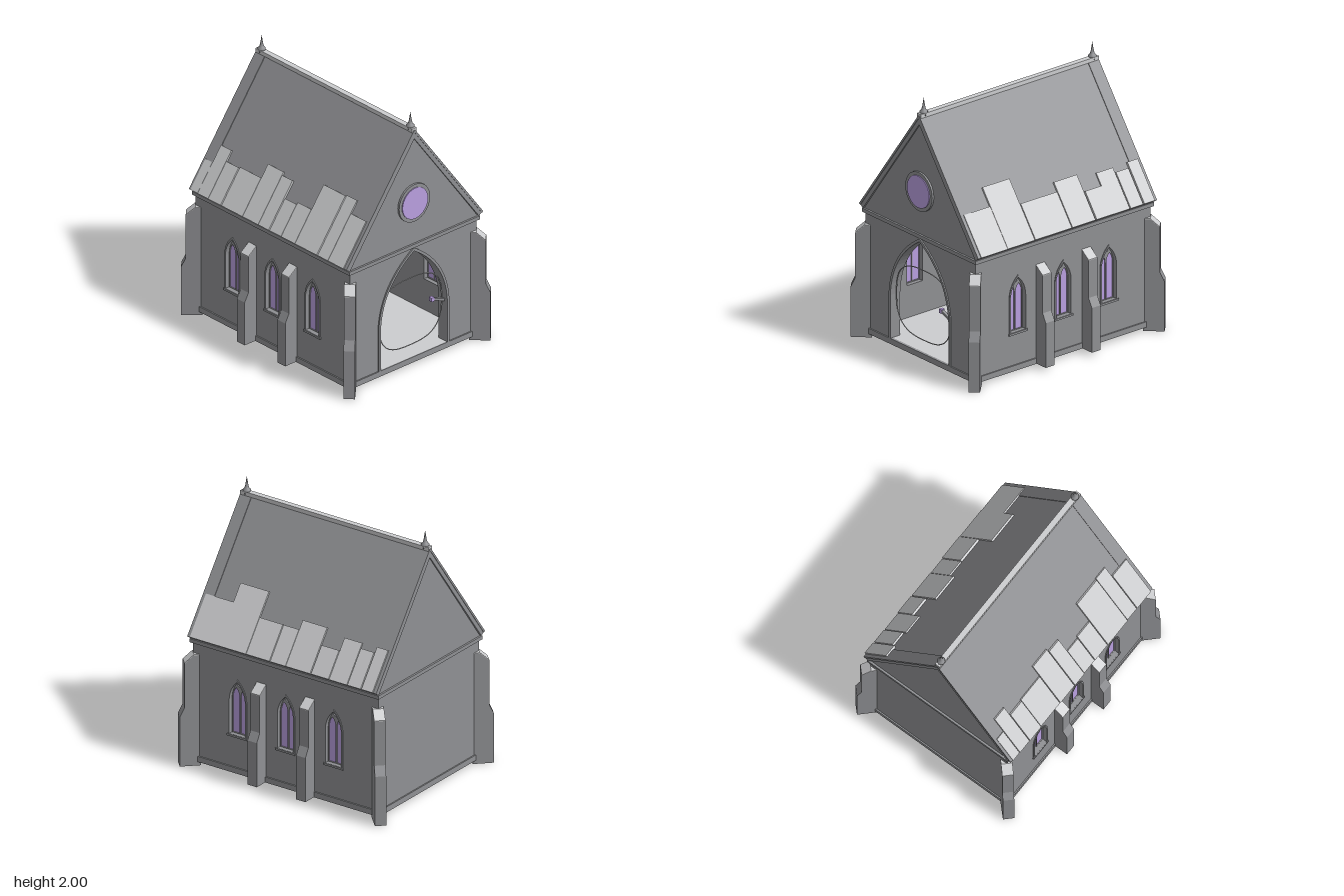
import * as THREE from 'three';

const mat = (name, color, extra = {}) => {
  const m = new THREE.MeshStandardMaterial({ color, ...extra });
  m.name = name;
  return m;
};

export function createModel() {
  const stone = mat('dark stone', 0x8f9093);
  const pale = mat('pale stone', 0xcccdcf);
  const violet = mat('violet glass', 0xb99fe0, { side: THREE.DoubleSide });
  const model = new THREE.Group();
  model.name = 'chapel';

  const add = (parent, name, geo, material, x = 0, y = 0, z = 0) => {
    const m = new THREE.Mesh(geo, material);
    m.name = name;
    m.position.set(x, y, z);
    parent.add(m);
    return m;
  };
  const box = (parent, name, material, x0, x1, y0, y1, z0, z1) =>
    add(parent, name, new THREE.BoxGeometry(x1 - x0, y1 - y0, z1 - z0), material,
      (x0 + x1) / 2, (y0 + y1) / 2, (z0 + z1) / 2);
  const poly = pts => new THREE.Shape(pts.map(p => new THREE.Vector2(...p)));
  // Extrude a shape between two z values
  const slab = (parent, name, material, shape, z0, z1) =>
    add(parent, name, new THREE.ExtrudeGeometry(shape,
      { depth: z1 - z0, bevelEnabled: false, curveSegments: 14 }), material, 0, 0, z0);
  // Pointed gothic arch outline
  const arch = (cx, hw, y0, spring, apex) => {
    const s = new THREE.Shape(), cy = spring + (apex - spring) * 0.62;
    s.moveTo(cx - hw, y0);
    s.lineTo(cx + hw, y0);
    s.lineTo(cx + hw, spring);
    s.quadraticCurveTo(cx + hw * 0.95, cy, cx, apex);
    s.quadraticCurveTo(cx - hw * 0.95, cy, cx - hw, spring);
    s.closePath();
    return s;
  };
  const disc = (cx, cy, r) => new THREE.Shape().absarc(cx, cy, r, 0, Math.PI * 2);
  const rect = (x0, x1, y0, y1) => poly([[x0, y0], [x1, y0], [x1, y1], [x0, y1]]);
  const cut = (shape, ...holes) => { shape.holes.push(...holes); return shape; };

  // Floor, plinth and end walls
  box(model, 'base', stone, -0.6, 0.6, 0.028, 0.05, -0.8, 0.8);
  box(model, 'floor', pale, -0.53, 0.53, 0.05, 0.07, -0.73, 0.73);
  box(model, 'doorSill', pale, -0.315, 0.315, 0.066, 0.071, 0.72, 0.8);
  for (const s of [-1, 1]) {
    box(model, 'sidePlinth', stone, s * 0.605 - 0.005, s * 0.605 + 0.005, 0.028, 0.07, -0.81, 0.81);
    box(model, 'endPlinth', stone, -0.61, 0.61, 0.028, 0.07, s * 0.805 - 0.005, s * 0.805 + 0.005);
  }
  slab(model, 'backWall', stone, rect(-0.6, 0.6, 0.03, 0.95), -0.8, -0.72);
  slab(model, 'frontWall', stone,
    cut(rect(-0.6, 0.6, 0.03, 0.95), arch(0, 0.315, 0.07, 0.4, 0.91)), 0.72, 0.8);
  slab(model, 'doorFrame', stone,
    cut(arch(0, 0.335, 0.07, 0.4, 0.935), arch(0, 0.315, 0.071, 0.4, 0.91)), 0.79, 0.81);
  box(model, 'altarStep', stone, -0.228, 0.225, 0.07, 0.145, -0.7, -0.58);

  // Thin rounded hoop and small bracket in the doorway
  const hoop = [];
  for (let i = 0; i < 32; i++) {
    const a = i / 32 * Math.PI * 2, c = Math.cos(a), s = Math.sin(a);
    hoop.push(new THREE.Vector3(0.295 * Math.sign(c) * Math.abs(c) ** 0.7,
      0.415 + 0.265 * Math.sign(s) * Math.abs(s) ** 0.7, 0.77));
  }
  add(model, 'doorHoop', new THREE.TubeGeometry(
    new THREE.CatmullRomCurve3(hoop, true), 80, 0.004, 5, true), pale);
  const arm = box(model, 'bracketArm', stone, 0.205, 0.315, 0.41, 0.428, 0.76, 0.785);
  arm.rotation.z = -0.38;
  box(model, 'bracketTip', violet, 0.187, 0.212, 0.425, 0.455, 0.757, 0.787);

  // Side walls with windows and buttresses; local +z points outwards
  const buttress = (parent, name, low, high, yCap, yTop, yLow, yHigh) => {
    slab(parent, name, stone, poly([[-0.05, 0], [low, 0], [low, yLow], [high, yHigh],
      [high, yCap], [0, yTop], [-0.05, yTop]]), -0.04, 0.04);
    slab(parent, name + 'Cap', pale, poly([[high, yCap], [high, yCap + 0.006],
      [0, yTop + 0.006], [-0.045, yTop + 0.006], [-0.045, yTop], [0, yTop]]), -0.04, 0.04);
  };
  const windowX = [-0.415, 0, 0.415];
  for (const s of [-1, 1]) {
    const side = new THREE.Group();
    side.name = s > 0 ? 'leftSide' : 'rightSide';
    side.rotation.y = s * Math.PI / 2;
    model.add(side);
    slab(side, 'sideWall', stone, cut(rect(-0.72, 0.72, 0.03, 0.95),
      ...windowX.map(x => arch(x, 0.07, 0.315, 0.58, 0.73))), 0.52, 0.6);
    for (const x of windowX) {
      slab(side, 'windowFrame', stone, cut(arch(x, 0.08, 0.31, 0.58, 0.748),
        arch(x, 0.068, 0.32, 0.58, 0.73)), 0.59, 0.607);
      box(side, 'windowSill', stone, x - 0.086, x + 0.086, 0.303, 0.318, 0.57, 0.612);
      slab(side, 'tracery', stone, cut(arch(x, 0.07, 0.315, 0.58, 0.73),
        arch(x - 0.034, 0.029, 0.322, 0.6, 0.668), arch(x + 0.034, 0.029, 0.322, 0.6, 0.668),
        disc(x, 0.699, 0.021)), 0.55, 0.57);
      slab(side, 'windowGlass', violet, arch(x, 0.069, 0.316, 0.58, 0.728), 0.556, 0.562);
    }
    for (const x of [-0.21, 0.21]) {
      const g = new THREE.Group();
      g.name = 'sideButtress';
      g.position.set(x, 0.028, 0.6);
      g.rotation.y = -Math.PI / 2;
      side.add(g);
      buttress(g, 'buttress', 0.11, 0.075, 0.688, 0.745, 0.34, 0.405);
    }
    // Diagonal corner buttresses
    for (const z of [-1, 1]) {
      const g = new THREE.Group();
      g.name = 'cornerButtress';
      g.position.set(s * 0.6, 0, z * 0.8);
      g.rotation.y = Math.atan2(-z, s);
      model.add(g);
      buttress(g, 'buttress', 0.1, 0.067, 0.79, 0.85, 0.38, 0.45);
    }
  }

  // Cornice and gables
  box(model, 'cornice', stone, -0.62, 0.62, 0.938, 0.966, -0.815, 0.815);
  slab(model, 'gable', stone, poly([[-0.61, 0.966], [0.61, 0.966], [0, 1.805]]), -0.8, 0.8);

  // Rose window
  slab(model, 'roseFrame', stone, cut(disc(0, 1.293, 0.147), disc(0, 1.293, 0.12)), 0.795, 0.815);
  slab(model, 'roseGlass', violet, disc(0, 1.293, 0.121), 0.814, 0.822);

  // Roof: a strip between two x values, offset along the slope normal
  const at = (s, x, d) => [s * (x + 0.806 * d), 1.87 - 1.364 * x + 0.591 * d];
  const strip = (s, x0, x1, d0, d1) =>
    poly([at(s, x0, d0), at(s, x1, d0), at(s, x1, d1), at(s, x0, d1)]);
  // Tiles per side: rear z, front z, upper x
  const tiles = {
    '1': [[0.55, 0.79, 0.46], [0.305, 0.55, 0.375], [0.1, 0.3, 0.49], [-0.035, 0.096, 0.49],
      [-0.25, -0.04, 0.448], [-0.41, -0.26, 0.525], [-0.565, -0.413, 0.467],
      [-0.685, -0.572, 0.49], [-0.79, -0.695, 0.465]],
    '-1': [[-0.795, -0.722, 0.51], [-0.718, -0.61, 0.43], [-0.605, -0.478, 0.48],
      [-0.473, -0.257, 0.475], [-0.252, -0.092, 0.41], [-0.087, 0.02, 0.425],
      [0.025, 0.143, 0.505], [0.148, 0.288, 0.495], [0.293, 0.518, 0.38],
      [0.523, 0.628, 0.375], [0.633, 0.79, 0.435]],
  };
  for (const s of [-1, 1]) {
    slab(model, 'roofSlope', stone, poly([[0, 1.87], at(s, 0.645, 0),
      at(s, 0.645, -0.04), [0, 1.802]]), -0.812, 0.812);
    for (const z of [-0.768, 0.768])
      slab(model, 'roofCoping', stone, strip(s, 0.002, 0.645, -0.01, 0.005), z - 0.048, z + 0.048);
    tiles[s].forEach(([z0, z1, x], i) =>
      slab(model, 'roofTile', pale, strip(s, x - 0.008, 0.645, -0.005, 0.011 + (i % 3) * 0.003), z0, z1));
  }
  box(model, 'ridge', pale, -0.021, 0.021, 1.855, 1.885, -0.812, 0.812);

  // Finials
  const profile = [[0, 1.865], [0.022, 1.865], [0.022, 1.88], [0.029, 1.885], [0.029, 1.897],
    [0.018, 1.907], [0.012, 1.925], [0.007, 1.955], [0, 2]].map(p => new THREE.Vector2(...p));
  for (const z of [-0.77, 0.77])
    add(model, 'finial', new THREE.LatheGeometry(profile, 12), stone, 0, 0, z);

  return model;
}
